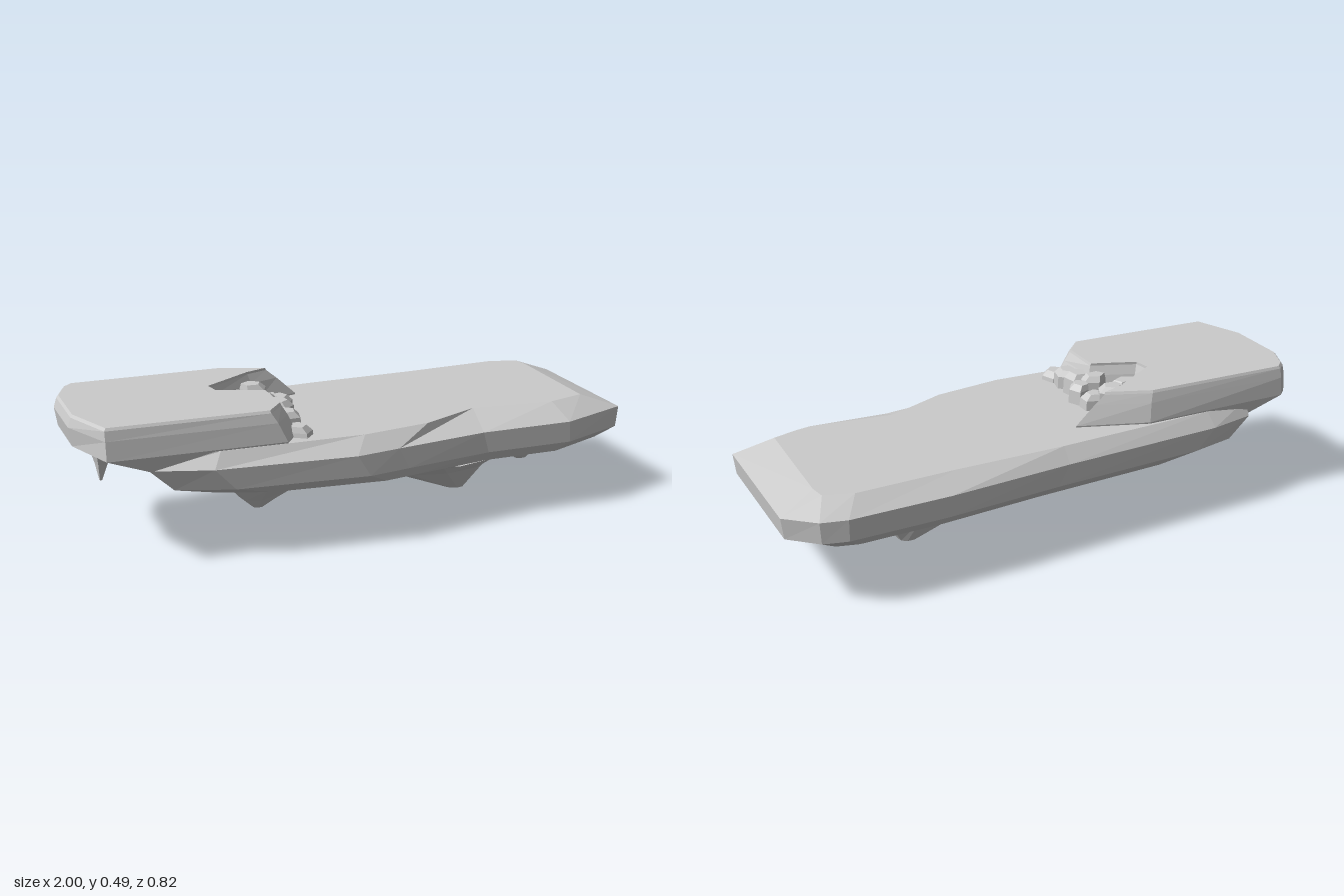
import * as THREE from 'three';

const material = new THREE.MeshStandardMaterial({ color: 0xcccccc, flatShading: true });

// Skin a stack of rings (bottom to top, each clockwise seen from above) and cap both ends.
function loft(name, rings) {
  const pos = [];
  const tri = (...pts) => pts.forEach((p) => pos.push(...p));
  const n = rings[0].length;
  for (let i = 0; i + 1 < rings.length; i++) {
    const lo = rings[i], up = rings[i + 1];
    for (let j = 0; j < n; j++) {
      const k = (j + 1) % n;
      tri(lo[k], lo[j], up[j]);
      tri(lo[k], up[j], up[k]);
    }
  }
  const cap = (ring, up) => {
    const flat = ring.map((p) => new THREE.Vector2(p[0], p[2]));
    for (const [a, b, c] of THREE.ShapeUtils.triangulateShape(flat, [])) {
      const facesUp = (flat[b].x - flat[a].x) * (flat[c].y - flat[a].y)
        - (flat[b].y - flat[a].y) * (flat[c].x - flat[a].x) < 0;
      if (facesUp === up) tri(ring[a], ring[b], ring[c]);
      else tri(ring[a], ring[c], ring[b]);
    }
  };
  cap(rings[0], false);
  cap(rings[rings.length - 1], true);
  const geo = new THREE.BufferGeometry();
  geo.setAttribute('position', new THREE.Float32BufferAttribute(pos, 3));
  geo.computeVertexNormals();
  const mesh = new THREE.Mesh(geo, material);
  mesh.name = name;
  return mesh;
}

// Place an [x, z] outline at height y, scaled and shifted.
const level = (outline, y, sx = 1, dx = 0, sz = 1) =>
  outline.map(([x, z]) => [x * sx + dx, y, z * sz]);

// Irregular elliptical ring for spikes and boulders.
const oval = (sides, x, y, z, rx, rz, turn = 0) =>
  Array.from({ length: sides }, (_, i) => {
    const a = (i / sides) * Math.PI * 2 + turn;
    return [x + Math.cos(a) * rx, y, z + Math.sin(a) * rz];
  });

// Lower island: outer edge and the edge of the flat ground
const edge = [[-0.78, -0.27], [-0.61, -0.31], [0, -0.355], [0.45, -0.4], [0.81, -0.415],
  [0.9, -0.395], [1, -0.31], [1, 0.23], [0.74, 0.33], [0.4, 0.33], [0.06, 0.38],
  [-0.1, 0.405], [-0.58, 0.365], [-0.78, 0.3]];
const ground = [[-0.78, -0.24], [-0.6, -0.27], [0, -0.31], [0.4, -0.32], [0.76, -0.34],
  [0.86, -0.31], [0.87, -0.25], [0.86, 0.19], [0.72, 0.23], [0.42, 0.2], [0.2, 0.3],
  [-0.05, 0.34], [-0.55, 0.33], [-0.78, 0.29]];

// Raised plateau: top, ledge and foot, with a notch at its inner end
const plateauTop = [[-0.99, -0.12], [-0.95, -0.22], [-0.92, -0.25], [-0.38, -0.25],
  [-0.22, -0.19], [-0.3, -0.16], [-0.48, -0.04], [-0.47, 0.02], [-0.31, 0.08],
  [-0.31, 0.24], [-0.37, 0.315], [-0.92, 0.305], [-0.99, 0.12]];
const plateauLedge = [[-1, -0.12], [-0.955, -0.225], [-0.92, -0.258], [-0.37, -0.26],
  [-0.18, -0.19], [-0.29, -0.15], [-0.47, -0.04], [-0.46, 0.01], [-0.3, 0.07],
  [-0.29, 0.245], [-0.35, 0.325], [-0.92, 0.312], [-1, 0.12]];
const plateauFoot = [[-0.99, -0.12], [-0.955, -0.23], [-0.92, -0.265], [-0.36, -0.275],
  [-0.11, -0.19], [-0.27, -0.14], [-0.45, -0.035], [-0.44, 0], [-0.28, 0.06],
  [-0.26, 0.25], [-0.32, 0.335], [-0.92, 0.32], [-0.99, 0.12]];
const plateauUnder = plateauFoot.map(([x, z]) => [Math.max(x, -0.78), z * 0.95]);

export function createModel() {
  const model = new THREE.Group();
  model.name = 'floatingIsland';

  model.add(loft('islandBody', [
    level(edge, 0.14, 0.59, 0.21, 0.35),
    level(edge, 0.175, 0.72, 0.14, 0.62),
    level(edge, 0.21, 0.82, 0.1, 0.9),
    level(edge, 0.25, 0.95, 0.041),
    level(edge, 0.325),
    level(ground, 0.375),
  ]));

  model.add(loft('plateau', [
    level(plateauUnder, 0.325),
    level(plateauFoot, 0.38),
    level(plateauLedge, 0.445),
    level(plateauTop, 0.478),
    level(plateauTop, 0.487, 0.985, -0.008, 0.98),
  ]));

  // Rock spikes under the island: rings of [x, y, z, rx, rz] from the tip up
  const spikes = [
    ['mainSpike', 9, [0.465, 0, -0.025, 0.037, 0.028], [0.38, 0.1, -0.01, 0.2, 0.11],
      [0.34, 0.145, 0, 0.32, 0.16], [0.34, 0.2, 0, 0.4, 0.3]],
    ['endSpike', 8, [0.745, 0.077, -0.03, 0.025, 0.015], [0.73, 0.125, -0.03, 0.075, 0.07],
      [0.73, 0.2, -0.03, 0.17, 0.17]],
    ['innerSpike', 8, [-0.33, 0.047, 0.03, 0.02, 0.015], [-0.32, 0.085, 0.03, 0.075, 0.05],
      [-0.3, 0.14, 0.02, 0.15, 0.12], [-0.27, 0.215, 0.02, 0.26, 0.25]],
    ['longPlateauSpike', 6, [-0.89, 0.23, 0.06, 0.005, 0.005], [-0.885, 0.29, 0.06, 0.022, 0.025],
      [-0.88, 0.335, 0.06, 0.04, 0.045], [-0.87, 0.385, 0.06, 0.085, 0.08]],
    ['shortPlateauSpike', 6, [-0.845, 0.265, -0.14, 0.005, 0.005], [-0.84, 0.31, -0.14, 0.025, 0.025],
      [-0.83, 0.38, -0.14, 0.08, 0.07]],
  ];
  for (const [name, sides, ...rings] of spikes) {
    model.add(loft(name, rings.map(([x, y, z, rx, rz]) => oval(sides, x, y, z, rx, rz, 0.2))));
  }

  // Boulders stepping down from the notch: [x, z, top, rx, rz, turn]
  const boulders = [
    [-0.38, -0.04, 0.455, 0.06, 0.04, 0.3], [-0.3, -0.09, 0.465, 0.05, 0.045, 1],
    [-0.25, -0.05, 0.43, 0.045, 0.04, 0.6], [-0.23, 0.02, 0.445, 0.035, 0.045, 0.1],
    [-0.3, 0.04, 0.46, 0.05, 0.04, 0.8], [-0.26, 0.1, 0.455, 0.04, 0.05, 0.4],
    [-0.26, 0.18, 0.44, 0.04, 0.05, 0.9], [-0.25, 0.26, 0.41, 0.04, 0.05, 0.2],
  ];
  const rocks = new THREE.Group();
  rocks.name = 'notchBoulders';
  for (const [x, z, top, rx, rz, turn] of boulders) {
    rocks.add(loft('boulder', [
      oval(5, x, 0.36, z, rx * 1.1, rz * 1.1, turn),
      oval(5, x, top - 0.02, z, rx, rz, turn),
      oval(5, x - 0.01, top, z, rx * 0.7, rz * 0.7, turn),
    ]));
  }
  model.add(rocks);
  return model;
}
